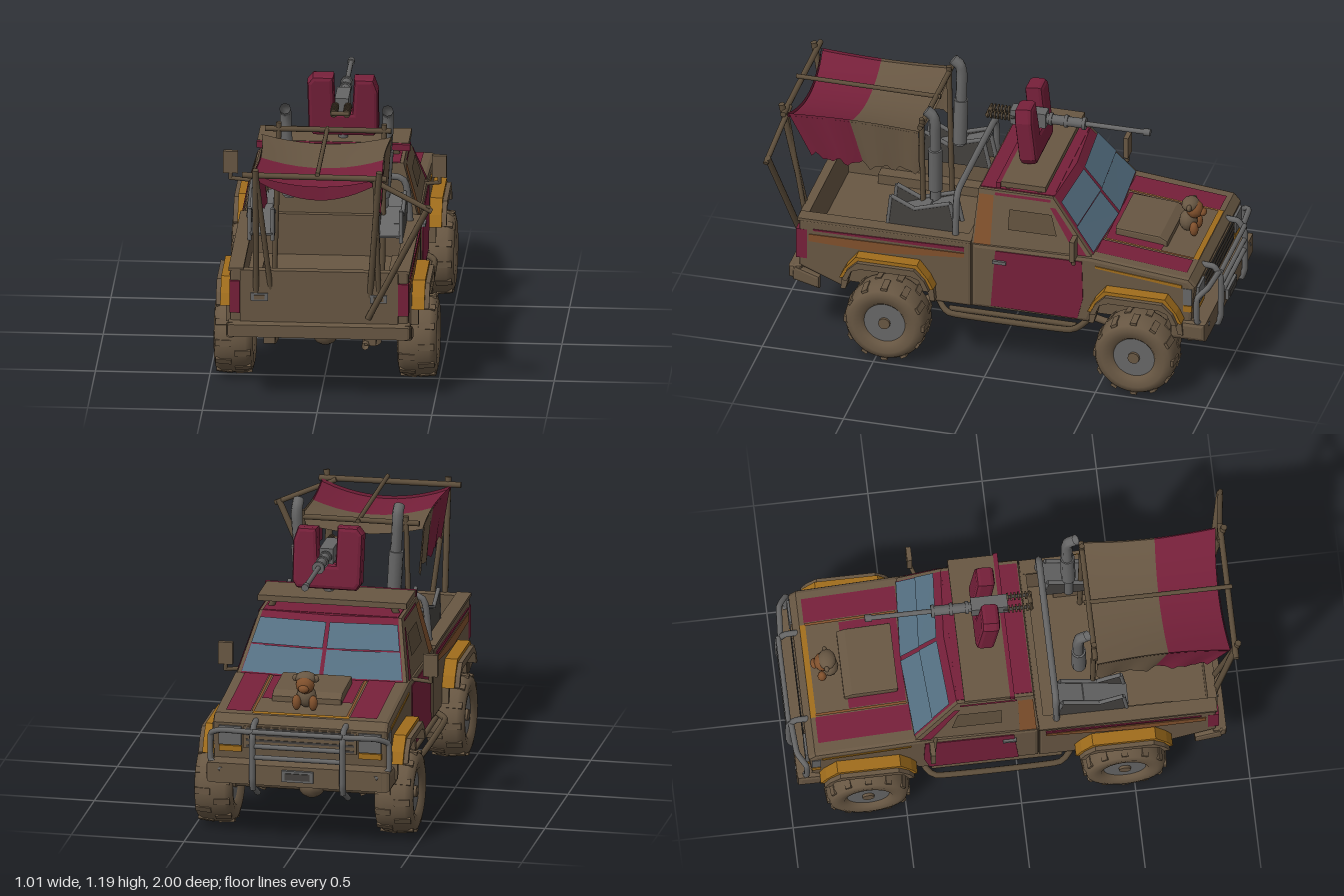
import * as THREE from 'three';

const mat = (name, color) => {
  const m = new THREE.MeshStandardMaterial({ color, side: THREE.DoubleSide });
  m.name = name;
  return m;
};

export function createModel() {
  const root = new THREE.Group();
  root.name = 'armedPickup';
  const brown = mat('mudBrown', 0x685743), crimson = mat('crimson', 0x76203a), yellow = mat('ochre', 0xa06d1c),
    rust = mat('rust', 0x80502c), glass = mat('glass', 0x557082), metal = mat('metal', 0x666666),
    dark = mat('darkMetal', 0x44413e), wood = mat('wood', 0x5c4d3a);
  const V = (p) => new THREE.Vector3(...p);
  const lerp = THREE.MathUtils.lerp;

  const add = (name, geo, m, parent = root) => {
    const mesh = new THREE.Mesh(geo, m);
    mesh.name = name;
    parent.add(mesh);
    return mesh;
  };
  const box = (name, w, h, d, x, y, z, m, parent) => {
    const b = add(name, new THREE.BoxGeometry(w, h, d), m, parent);
    b.position.set(x, y, z);
    return b;
  };
  // straight round bar between two points
  const rod = (name, a, b, r, m) => {
    const p = V(a), q = V(b), d = q.clone().sub(p);
    const c = add(name, new THREE.CylinderGeometry(r, r, d.length(), 10), m);
    c.position.copy(p).add(q).multiplyScalar(0.5);
    c.quaternion.setFromUnitVectors(new THREE.Vector3(0, 1, 0), d.normalize());
  };
  // bent pipe
  const pipe = (name, pts, r, m) => add(name, new THREE.TubeGeometry(
    new THREE.CatmullRomCurve3(pts.map(V), false, 'catmullrom', 0.2), pts.length * 7, r, 8), m);
  // side profile of [z, y] points, extruded from x0 to x1
  const profile = (name, pts, x0, x1, m, bevel = 0) => {
    const s = new THREE.Shape(pts.map(([z, y]) => new THREE.Vector2(-z, y)));
    const g = new THREE.ExtrudeGeometry(s, { depth: x1 - x0 - 2 * bevel, bevelEnabled: bevel > 0,
      bevelSize: bevel, bevelThickness: bevel, bevelOffset: -bevel, bevelSegments: 2 });
    add(name, g.rotateY(Math.PI / 2).translate(x0 + bevel, 0, 0), m);
  };
  const both = (name, pts, x0, x1, m, bevel) => {
    profile(name, pts, x0, x1, m, bevel);
    profile(name, pts, -x1, -x0, m, bevel);
  };
  // flat four-cornered face
  const panel = (name, p, m) => {
    const g = new THREE.BufferGeometry().setFromPoints([0, 1, 2, 0, 2, 3].map((i) => V(p[i])));
    g.computeVertexNormals();
    add(name, g, m);
  };

  // ---- lower body
  profile('frontBody', [[.09, .6], [.09, .28], [-.44, .28], [-.48, .39], [-.55, .455], [-.77, .455], [-.84, .4],
    [-.87, .3], [-.9, .3], [-.92, .53], [-.89, .565], [-.45, .61]], -.39, .39, brown, .018);
  both('bedSide', [[.865, .605], [.865, .37], [.67, .29], [.63, .4], [.56, .455], [.36, .455], [.29, .4],
    [.25, .28], [.09, .28], [.09, .605]], .335, .39, brown, .012);
  both('bedRail', [[.87, .598], [.87, .612], [.09, .612], [.09, .598]], .33, .395, brown);
  box('engineCore', .6, .2, .46, 0, .38, -.65, brown);
  box('bedFloor', .68, .05, .78, 0, .4, .475, brown);
  box('bedFrontWall', .68, .33, .03, 0, .445, .1, brown);
  box('tailgate', .69, .24, .04, 0, .485, .855, brown);
  box('floorPan', .56, .03, 1.5, 0, .305, 0, brown);
  for (const s of [-1, 1]) {
    box('wheelTub', .06, .18, .46, s * .305, .38, .457, brown);
    box('tailLight', .045, .145, .05, s * .368, .482, .853, crimson);
    box('tailgateLatch', .075, .035, .008, s * .26, .485, .878, metal);
    box('tailgateLatchInset', .045, .018, .008, s * .26, .485, .883, brown);
  }
  profile('rearBumper', [[.91, .365], [.91, .31], [.85, .295], [.85, .375]], -.4, .4, brown, .014);
  both('rearBumperEnd', [[.89, .37], [.89, .3], [.77, .27], [.77, .33]], .365, .405, brown, .012);

  // ---- wheel arch flares: painted upper band over a plain lip
  for (const zc of [.457, -.66]) {
    const arch = (w, h) => [[zc + w, .37], [zc + w * .88, .42], [zc + w * .65, h], [zc - w * .65, h], [zc - w * .88, .42], [zc - w, .37]];
    const band = (w0, h0, w1, h1) => [...arch(w1, h1), ...arch(w0, h0).reverse()];
    both('flareTop', band(.196, .462, .212, .482), .375, .445, yellow);
    both('flareLip', band(.172, .435, .197, .465), .375, .465, brown);
    for (const e of [-1, 1]) both('flareFoot', [[zc + e * .172, .37], [zc + e * .205, .37], [zc + e * .212, .3], [zc + e * .19, .3]], .375, .42, brown);
  }

  // ---- cab: tapered box and thin painted faces
  const yB = .595, yT = .84;
  const cab = new THREE.BoxGeometry(2, 1, 1);
  const cp = cab.attributes.position;
  for (let i = 0; i < cp.count; i++) {
    const top = cp.getY(i) > 0, front = cp.getZ(i) < 0;
    cp.setXYZ(i, cp.getX(i) * (top ? .315 : .38), top ? yT : yB, front ? (top ? -.26 : -.46) : (top ? .075 : .09));
  }
  cab.computeVertexNormals();
  add('cab', cab, brown);
  const onSide = (s, z, y, o = .004) => [s * (lerp(.38, .315, (y - yB) / (yT - yB)) + o), y, z];
  const sideFace = (name, s, pts, m, o) => panel(name, pts.map(([z, y]) => onSide(s, z, y, o)), m);
  // two-pane windshield, the middle pushed slightly forward
  const shield = (u, v, o = .006) => [u * lerp(.375, .31, v), lerp(yB, yT, v) + o, lerp(-.46, -.26, v) - o - .022 * (1 - Math.abs(u))];
  const shieldFace = (name, u0, u1, v0, v1, m, o) =>
    panel(name, [shield(u0, v0, o), shield(u0, v1, o), shield(u1, v1, o), shield(u1, v0, o)], m);
  for (const s of [-1, 1]) {
    shieldFace('windshieldFrame', 0, s * .97, 0, 1, crimson, .002);
    shieldFace('windshield', s * .025, s * .96, .07, .48, glass, .006);
    shieldFace('windshieldUpper', s * .025, s * .96, .49, .88, glass, .01);
  }
  panel('visorTop', [shield(-1, 1, .002), shield(0, 1, .002), shield(1, 1, .002), [0, yT + .002, -.2]], crimson);
  box('roofPaint', .6, .008, .33, 0, .84, -.095, crimson);
  for (const s of [-1, 1]) {
    sideFace('rearPillarRust', s, [[.08, .6], [.07, .82], [.005, .82], [.005, .6]], rust);
    sideFace('windowBoard', s, [[-.07, .68], [-.07, .77], [-.26, .77], [-.29, .68]], wood, .008);
    sideFace('frontPillarPaint', s, [[-.38, .61], [-.25, .8], [-.275, .8], [-.43, .61]], crimson, .006);
    sideFace('roofEdgePaint', s, [[0, .822], [0, .834], [-.25, .834], [-.25, .822]], crimson, .006);
  }
  both('doorPaint', [[0, .3], [-.02, .58], [-.41, .585], [-.415, .4], [-.39, .295]], .386, .394, crimson);
  both('doorHandle', [[-.01, .52], [-.01, .535], [-.07, .535], [-.07, .52]], .39, .405, metal);
  both('bedRustStripe', [[.82, .5], [.82, .535], [.12, .545], [.12, .525], [.5, .49]], .386, .394, rust);
  both('bedRedStripe', [[.8, .555], [.8, .562], [.12, .575], [.12, .555]], .386, .395, crimson);
  both('fenderStripe', [[-.47, .562], [-.47, .572], [-.86, .535], [-.86, .52]], .386, .394, yellow);
  for (const [s, x] of [[-1, .47], [1, .44]]) {
    rod('mirrorArm', [s * .37, .6, -.36], [s * x, .6, -.385], .009, wood);
    rod('mirrorStem', [s * x, .595, -.385], [s * x, .65, -.385], .009, wood);
    box('mirror', .064, .1, .022, s * x, .675, -.385, brown);
  }

  // ---- hood
  const hood = (name, x0, x1, z0, z1, m, o = .005) => {
    const y = (z) => lerp(.565, .61, (z + .89) / .44) + o;
    panel(name, [[x0, y(z0), z0], [x0, y(z1), z1], [x1, y(z1), z1], [x1, y(z0), z0]], m);
  };
  hood('hoodStripe', -.33, -.21, -.87, -.46, crimson);
  hood('hoodStripe', .23, .34, -.87, -.46, crimson);
  hood('hoodPanelPaint', -.19, .21, -.72, -.47, crimson);
  hood('hoodFrontStripe', -.21, .22, -.89, -.865, yellow);
  for (const x of [-.2, .22]) hood('hoodEdgeRust', x - .006, x + .006, -.87, -.47, rust, .007);
  profile('hoodScoop', [[-.735, .57], [-.735, .605], [-.7, .625], [-.5, .64], [-.5, .59]], -.145, .165, brown, .008);
  // small beast ornament
  const blob = (name, r, sx, sy, sz, x, y, z, m) => {
    const b = add(name, new THREE.SphereGeometry(r, 12, 8), m);
    b.scale.set(sx, sy, sz);
    b.position.set(x, y, z);
  };
  blob('ornamentBody', .045, 1, 1.1, .9, 0, .63, -.785, brown);
  blob('ornamentHead', .042, 1, .95, .9, 0, .69, -.815, rust);
  blob('ornamentCap', .044, 1.1, .7, .9, 0, .713, -.795, brown);
  blob('ornamentMuzzle', .022, 1.1, .8, .8, 0, .68, -.85, rust);
  for (const s of [-1, 1]) {
    blob('ornamentEar', .016, 1, 1, .7, s * .044, .715, -.8, brown);
    blob('ornamentPaw', .02, 1, 1.7, 1, s * .037, .61, -.82, rust);
  }

  // ---- front end, bumper and bull bar
  box('grille', .5, .1, .02, 0, .47, -.915, brown);
  for (let i = 0; i < 4; i++) box('grilleSlot', .48, .01, .008, 0, .432 + i * .026, -.925, dark);
  for (const s of [-1, 1]) {
    box('headlight', .1, .085, .02, s * .31, .475, -.92, metal);
    box('indicator', .1, .025, .02, s * .31, .415, -.917, yellow);
    box('cornerLight', .012, .08, .04, s * .387, .48, -.885, metal);
    box('sideIndicator', .012, .03, .04, s * .387, .42, -.885, yellow);
    pipe('bullBarHoop', [[s * .2, .25, -.97], [s * .2, .3, -.985], [s * .2, .48, -.985], [s * .2, .535, -.955], [s * .2, .54, -.9]], .014, metal);
    pipe('bullBarWing', [[s * .2, .51, -.975], [s * .34, .51, -.965], [s * .395, .48, -.93], [s * .395, .36, -.93], [s * .34, .33, -.965]], .013, metal);
    rod('towBar', [s * .2, .2, -.86], [s * .2, .26, -.97], .013, metal);
  }
  both('bumperWing', [[-.97, .36], [-.97, .27], [-.81, .27], [-.81, .36]], .355, .41, brown, .018);
  profile('frontBumper', [[-.97, .36], [-.97, .27], [-.88, .25], [-.88, .37]], -.39, .39, brown, .018);
  for (const y of [.4, .45, .515]) rod('bullBarRail', [-.2, y, -.985], [.2, y, -.985], .011, metal);
  box('bumperPlate', .14, .05, .02, 0, .32, -.975, metal);
  box('bumperPlateInset', .11, .03, .008, 0, .32, -.986, dark);

  // ---- wheels
  for (const z of [.457, -.666]) for (const s of [-1, 1]) {
    const w = new THREE.Group();
    w.name = 'wheel';
    const tyre = [[.09, -.06], [.105, -.08], [.14, -.086], [.165, -.08], [.18, -.055], [.183, 0], [.18, .055], [.165, .08], [.14, .086], [.105, .08], [.09, .06]];
    add('tyre', new THREE.LatheGeometry(tyre.map(([r, h]) => new THREE.Vector2(r, h)), 36), brown, w);
    for (let i = 0; i < 24; i++) {
      const a = i * Math.PI / 12, side = i % 2 ? 1 : -1;
      const lug = box('treadLug', .012, .07, .028, Math.cos(a) * .178, side * .042, Math.sin(a) * .178, brown, w);
      lug.rotation.set(0, -a, side * .1);
    }
    add('rim', new THREE.CylinderGeometry(.104, .104, .126, 24), metal, w);
    add('hub', new THREE.CylinderGeometry(.032, .026, .15, 12), brown, w);
    w.rotation.z = s * Math.PI / 2;
    w.position.set(s * .4 + .008, .187, z);
    root.add(w);
  }

  // ---- chassis
  for (const z of [.457, -.666]) {
    rod('axle', [-.36, .187, z], [.36, .187, z], .024, brown);
    blob('differential', .055, 1.1, 1, 1.1, 0, .187, z, brown);
    for (const s of [-1, 1]) {
      rod('damper', [s * .23, .15, z + .03], [s * .15, .31, z + .05], .02, brown);
      rod('trailingLink', [s * .27, .18, z], [s * .3, .28, z - Math.sign(z) * .32], .016, brown);
    }
  }
  rod('driveShaft', [0, .2, .42], [0, .26, 0], .02, brown);
  rod('frontDriveShaft', [0, .26, 0], [0, .2, -.62], .02, brown);
  rod('muffler', [.16, .275, .12], [.16, .275, -.14], .035, brown);
  pipe('exhaustPipe', [[.1, .27, -.6], [.16, .275, -.2], [.16, .275, .3], [.2, .28, .6], [.2, .26, .86]], .016, brown);
  for (const z of [-.4, -.05, .25, .68]) box('crossMember', .6, .03, .035, 0, .27, z, brown);
  for (const s of [-1, 1]) {
    box('frameRail', .05, .06, 1.66, s * .22, .285, 0, brown);
    pipe('sideStep', [[s * .34, .27, .25], [s * .42, .25, .17], [s * .42, .25, -.36], [s * .34, .27, -.43]], .014, wood);
    rod('sideStepInner', [s * .375, .25, .19], [s * .375, .25, -.38], .012, wood);
  }

  // ---- bed fittings: roll bar, stacks and scrap armour
  pipe('rollBar', [[-.35, .6, .17], [-.335, .76, .17], [-.29, .81, .17], [.29, .81, .17], [.335, .76, .17], [.35, .6, .17]], .015, metal);
  for (const [s, low, x, foot] of [[-1, -.168, -.185, .75], [1, .24, .262, .6]]) {
    pipe('exhaustStack', [[low, foot, .29], [low, .78, .29], [x, 1.09, .285], [x, 1.14, .293], [x, 1.165, .325]], .025, metal);
    rod('stackSleeve', [low, .76, .29], [lerp(low, x, .7), .97, .287], .032, metal);
    // open trough of bent sheets beside each stack
    const rim = [[.48, .61], [.465, .75], [.36, .7], [.2, .75], [.17, .61]];
    for (const e of [-.05, .05]) {
      const x0 = s * .28 + e;
      profile('scrapSheet', rim, x0 - .006, x0 + .006, dark);
      for (let i = 0; i < 4; i++) rod('scrapRim', [x0, rim[i][1], rim[i][0]], [x0, rim[i + 1][1], rim[i + 1][0]], .009, metal);
    }
    for (const [y, z] of [[.66, .43], [.69, .35], [.72, .24]]) box('scrapPlate', .1, .012, .12, s * .28, y, z, metal).rotation.x = .35;
  }

  // ---- roof platform and gun
  box('roofPlatform', .66, .026, .2, 0, .885, -.13, brown);
  box('platformBackEdge', .67, .028, .02, .003, .882, -.02, crimson);
  for (const s of [-1, 1]) for (const z of [-.19, -.05]) rod('platformFoot', [s * .28, .835, z], [s * .26, .88, z], .015, wood);
  const gx = .04, gy = 1.07;
  rod('gunPost', [gx, .89, -.1], [gx, gy - .02, -.1], .022, metal);
  const shape = new THREE.Shape([[-.15, .94], [-.13, .91], [.135, .91], [.155, .94], [.155, 1.12], [.135, 1.18], [.05, 1.18],
    [.04, 1.02], [-.035, 1.02], [-.04, 1.19], [-.13, 1.19], [-.155, 1.16]].map((p) => new THREE.Vector2(...p)));
  const shieldGeo = new THREE.ExtrudeGeometry(shape, { depth: .045, bevelSize: .018, bevelThickness: .018, bevelOffset: -.018, bevelSegments: 2 });
  shieldGeo.translate(0, -1.05, -.022).rotateX(.11).translate(gx, 1.05, -.1);
  add('gunShield', shieldGeo, crimson);
  box('gunReceiver', .06, .07, .16, gx, gy, -.08, metal);
  rod('gunJacket', [gx, gy, -.14], [gx, gy, -.33], .022, metal);
  for (const z of [-.17, -.24, -.32]) rod('jacketRing', [gx, gy, z], [gx, gy, z - .015], .028, metal);
  rod('gunBarrel', [gx, gy, -.33], [gx, gy, -.6], .011, metal);
  rod('gunMuzzle', [gx, gy, -.595], [gx, gy, -.625], .016, metal);
  for (const s of [-1, 1]) {
    rod('gunGrip', [gx + s * .028, gy, -.02], [gx + s * .028, gy, .1], .008, dark);
    for (let i = 0; i < 7; i++) rod('gripRib', [gx + s * .028, gy, i * .016], [gx + s * .028, gy, i * .016 + .007], .018, wood);
  }
  rod('gripBar', [gx - .04, gy, .1], [gx + .04, gy, .1], .01, wood);

  // ---- canopy poles
  [[[-.33, 1.07, .96], [.3, 1.065, .96], .013], [[.22, 1.065, .95], [.5, .93, .985], .012], [[.485, .95, .98], [.215, .4, .89], .014],
    [[-.27, 1.1, .975], [-.275, .48, .86], .014], [[-.27, 1.08, .97], [-.21, .5, .86], .012],
    [[.27, 1.1, .975], [.22, .48, .86], .014], [[.25, 1.06, .96], [.26, .48, .86], .011],
    [[-.27, 1.08, .35], [.28, 1.08, .35], .012], [[0, 1.08, .33], [0, 1.085, .98], .01],
    [[-.21, 1.11, .35], [-.23, .42, .34], .012], [[.25, 1.11, .35], [.24, .42, .34], .012],
  ].forEach(([a, b, r]) => rod('canopyPole', a, b, r, wood));

  // ---- canopy cloth: sagging top and ragged side flaps, in two colours
  const cloth = (name, t0, t1, m, rule) => {
    const g = new THREE.PlaneGeometry(1, 1, 14, 10), p = g.attributes.position;
    for (let i = 0; i < p.count; i++) p.setXYZ(i, ...rule(lerp(t0, t1, p.getX(i) + .5), p.getY(i) + .5));
    g.computeVertexNormals();
    add(name, g, m);
  };
  const roofCloth = (t, v) => {
    const x = v * 2 - 1, pinch = 1 - .06 * Math.sin(t * Math.PI);
    return [x * .285 * pinch, 1.055 - .055 * (1 - x * x) * (.7 + .3 * t), .355 + .585 * t - .02 * (1 - x * x) * t];
  };
  for (const [t0, t1, m] of [[0, .54, brown], [.54, 1, crimson]]) {
    cloth('canopyTop', t0, t1, m, roofCloth);
    for (const s of [-1, 1]) cloth('canopyFlap', t0, t1, m, (t, v) => {
      const [x, y, z] = roofCloth(t, 1);
      const drop = .2 + .012 * Math.sin(t * 31) + .008 * Math.sin(t * 57) + .02 * Math.sin(t * Math.PI);
      return [s * (x - .02 * v + .008 * Math.sin(t * 19) * v), y + .012 * (1 - v) - v * drop, z - .1 * t * v];
    });
  }
  cloth('canopyBackEdge', 0, 1, crimson, (t, v) => {
    const [x, y, z] = roofCloth(1, t);
    return [x, y + .012 - v * .045 * (.4 + Math.sin(t * Math.PI)), z + .005];
  });
  return root;
}
